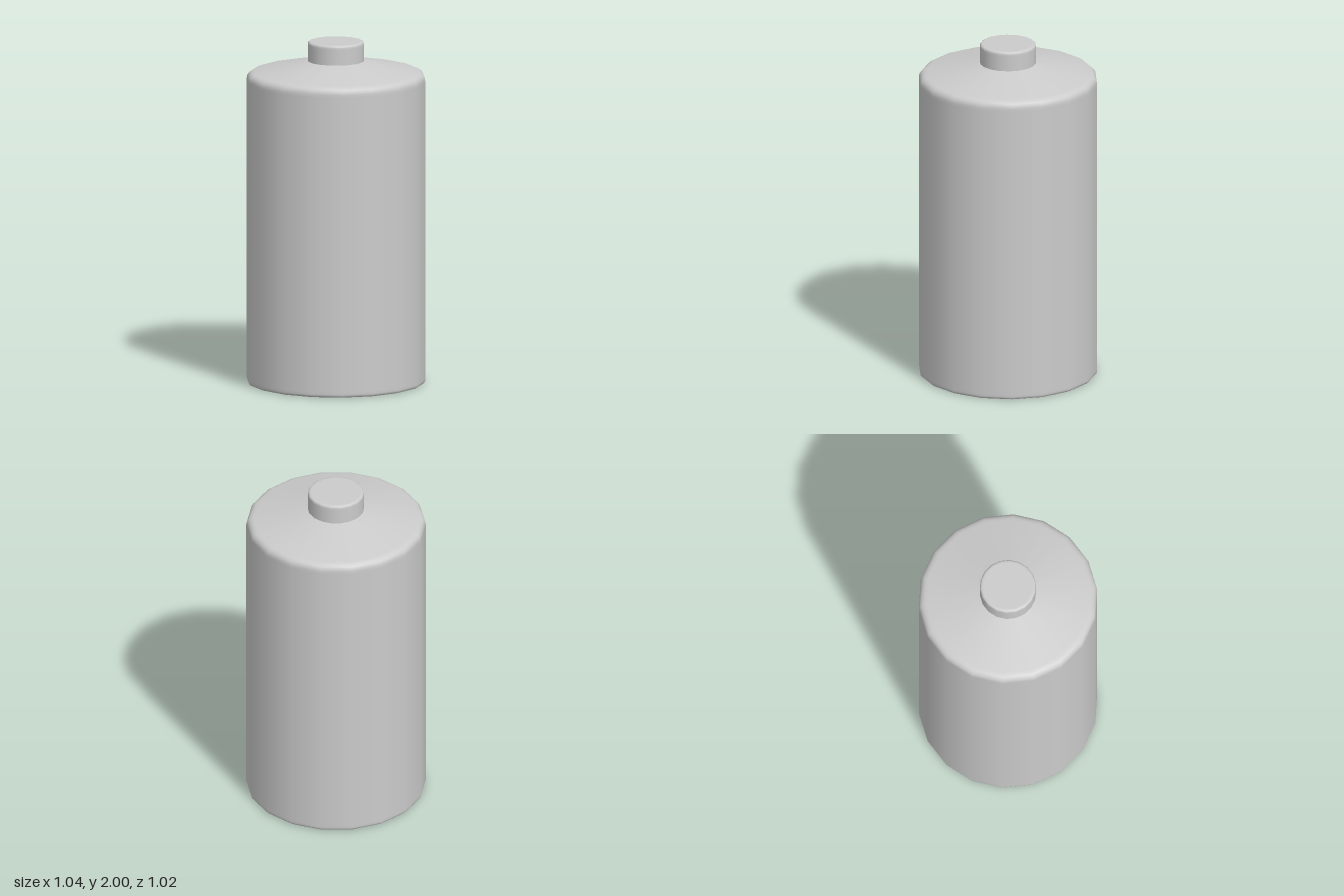
import * as THREE from 'three';

const SIDES = 18;

// Smooth lathed part; profile runs from bottom to top, with a facet corner on the x axis.
function lathe(name, profile, material) {
  const points = profile.map(([r, y]) => new THREE.Vector2(r, y));
  const mesh = new THREE.Mesh(new THREE.LatheGeometry(points, SIDES, Math.PI / 2), material);
  mesh.name = name;
  return mesh;
}

// Rounded corner as profile points: an arc about (cr, cy) between two angles in degrees.
function arc(cr, cy, radius, from, to, steps = 4) {
  return Array.from({ length: steps + 1 }, (_, i) => {
    const a = THREE.MathUtils.degToRad(from + ((to - from) * i) / steps);
    return [cr + radius * Math.cos(a), cy + radius * Math.sin(a)];
  });
}

export function createModel() {
  const model = new THREE.Group();
  model.name = 'battery';
  const grey = new THREE.MeshStandardMaterial({ color: 0xcccccc });

  // Casing: flat base, straight wall, rounded shoulder and shallow cone up to the terminal.
  // Extra points beside each rounding keep the wall and base shading even.
  model.add(lathe('casing', [
    [0, 0], [0.49, 0],
    ...arc(0.502, 0.016, 0.016, -90, 0, 3),
    [0.518, 0.03], [0.518, 1.76],
    ...arc(0.475, 1.777, 0.043, 0, 78),
    [0.47, 1.822], [0.17, 1.884], [0.15, 1.888],
  ], grey));

  // Raised terminal with a softened rim.
  model.add(lathe('terminal', [
    [0.163, 1.88], [0.163, 1.975],
    ...arc(0.149, 1.986, 0.014, 0, 90, 3),
    [0.14, 2], [0, 2],
  ], grey));

  return model;
}
